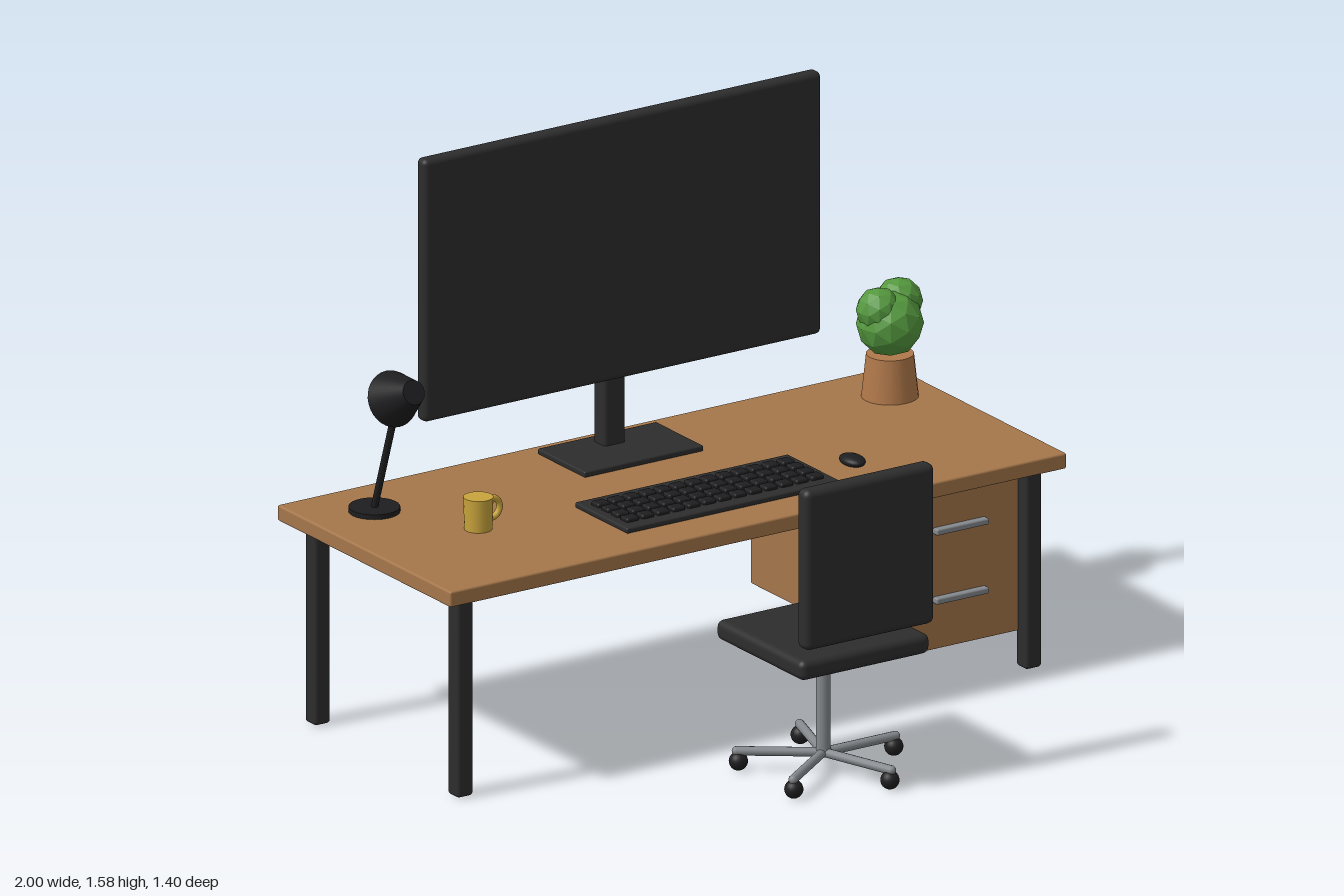
import * as THREE from 'three';
import { RoundedBoxGeometry } from 'three/addons/geometries/RoundedBoxGeometry.js';

const material = (name, color, flatShading = false) => {
  const m = new THREE.MeshStandardMaterial({ color, flatShading });
  m.name = name;
  return m;
};

export function createModel() {
  const root = new THREE.Group();
  root.name = 'deskSetup';

  const wood = material('wood', 0xa5774b);
  const charcoal = material('charcoal', 0x2d2d2e);
  const black = material('black', 0x1e1e20);
  const metal = material('metal', 0x85898d);
  const mustard = material('mustard', 0xc9a43c);
  const clay = material('clay', 0xb0784a);
  const leaf = material('leaf', 0x55993f, true);

  const group = (name) => {
    const g = new THREE.Group();
    g.name = name;
    root.add(g);
    return g;
  };
  const add = (parent, name, geo, mat, x, y, z) => {
    const m = new THREE.Mesh(geo, mat);
    m.name = name;
    m.position.set(x, y, z);
    parent.add(m);
    return m;
  };
  // Rounded box given by its extents on each axis
  const block = (parent, name, mat, [x0, x1], [y0, y1], [z0, z1], r) =>
    add(parent, name, new RoundedBoxGeometry(x1 - x0, y1 - y0, z1 - z0, 3, r), mat,
      (x0 + x1) / 2, (y0 + y1) / 2, (z0 + z1) / 2);
  // Cylinder running between two points
  const rod = (parent, name, mat, a, b, rA, rB, sides = 24) => {
    const from = new THREE.Vector3(...a), to = new THREE.Vector3(...b);
    const dir = to.clone().sub(from);
    const mid = from.add(to).multiplyScalar(0.5);
    const m = add(parent, name, new THREE.CylinderGeometry(rB, rA, dir.length(), sides), mat, mid.x, mid.y, mid.z);
    m.quaternion.setFromUnitVectors(new THREE.Vector3(0, 1, 0), dir.normalize());
    return m;
  };

  // Desk
  const desk = group('desk');
  block(desk, 'deskTop', wood, [-1, 1], [0.575, 0.62], [-0.7, 0.14], 0.006);
  for (const x of [-0.922, 0.922])
    for (const z of [0.073, -0.62])
      block(desk, 'deskLeg', charcoal, [x - 0.026, x + 0.026], [0.005, 0.577], [z - 0.026, z + 0.026], 0.01);

  // Drawer unit
  const drawers = group('drawerUnit');
  block(drawers, 'drawerBody', wood, [0.505, 0.905], [0.108, 0.566], [-0.655, 0.06], 0.004);
  for (const y of [0.25, 0.448])
    block(drawers, 'drawerHandle', metal, [0.62, 0.79], [y - 0.009, y + 0.009], [0.055, 0.08], 0.005);

  // Monitor
  const monitor = group('monitor');
  block(monitor, 'monitorPanel', charcoal, [-0.645, 0.645], [0.836, 1.588], [-0.56, -0.516], 0.016);
  block(monitor, 'monitorColumn', charcoal, [-0.035, 0.035], [0.625, 0.88], [-0.612, -0.555], 0.012);
  block(monitor, 'monitorBase', charcoal, [-0.193, 0.193], [0.62, 0.637], [-0.645, -0.415], 0.005);

  // Keyboard and mouse
  const keyboard = group('keyboard');
  block(keyboard, 'keyboardBase', charcoal, [-0.346, 0.346], [0.62, 0.636], [-0.235, 0.02], 0.005);
  const keyGeo = new RoundedBoxGeometry(0.04, 0.018, 0.037, 2, 0.006);
  for (let c = 0; c < 13; c++)
    for (let r = 0; r < 4; r++)
      add(keyboard, 'key', keyGeo, black, (c - 6) * 0.05, 0.638, -0.107 + (r - 1.5) * 0.047);
  add(group('mouse'), 'mouseBody', new THREE.SphereGeometry(1, 24, 16), black, 0.473, 0.63, -0.112)
    .scale.set(0.031, 0.016, 0.046);

  // Mug
  const mug = group('mug');
  rod(mug, 'mugBody', mustard, [-0.655, 0.62, -0.24], [-0.655, 0.712, -0.24], 0.038, 0.041);
  add(mug, 'mugHandle', new THREE.TorusGeometry(0.029, 0.009, 10, 24), mustard, -0.615, 0.672, -0.24);

  // Lamp: its shade is a cone whose wide end faces back and down
  const lamp = group('lamp');
  rod(lamp, 'lampBase', black, [-0.81, 0.62, -0.513], [-0.81, 0.634, -0.513], 0.07, 0.07, 32);
  rod(lamp, 'lampArm', black, [-0.81, 0.63, -0.513], [-0.81, 0.97, -0.4], 0.01, 0.01, 12);
  rod(lamp, 'lampShade', black, [-0.81, 0.968, -0.424], [-0.81, 1.017, -0.321], 0.078, 0.034, 32);

  // Potted plant
  const plant = group('plant');
  rod(plant, 'plantPot', clay, [0.858, 0.62, -0.506], [0.858, 0.742, -0.506], 0.078, 0.065);
  for (const [x, y, z, r] of [
    [0.858, 0.828, -0.506, 0.092],
    [0.907, 0.873, -0.537, 0.066],
    [0.823, 0.873, -0.508, 0.062],
  ]) add(plant, 'foliage', new THREE.IcosahedronGeometry(r, 1), leaf, x, y, z);

  // Chair
  const chair = group('chair');
  const cz = 0.457;
  block(chair, 'chairBack', charcoal, [-0.212, 0.208], [0.453, 0.912], [0.637, 0.69], 0.02);
  block(chair, 'chairSeat', charcoal, [-0.212, 0.208], [0.36, 0.417], [0.245, 0.667], 0.02);
  rod(chair, 'chairPost', metal, [-0.002, 0.055, cz], [-0.002, 0.37, cz], 0.02, 0.02);
  for (let i = 0; i < 5; i++) {
    const spoke = new THREE.Group();
    spoke.name = 'chairSpoke';
    spoke.position.set(-0.002, 0, cz);
    spoke.rotation.y = (i * Math.PI * 2) / 5;
    chair.add(spoke);
    add(spoke, 'chairFoot', new THREE.CapsuleGeometry(0.013, 0.234, 6, 12), metal, 0.117, 0.058, 0)
      .rotation.z = Math.PI / 2;
    add(spoke, 'caster', new THREE.SphereGeometry(0.026, 20, 14), black, 0.229, 0.029, 0);
  }

  return root;
}
